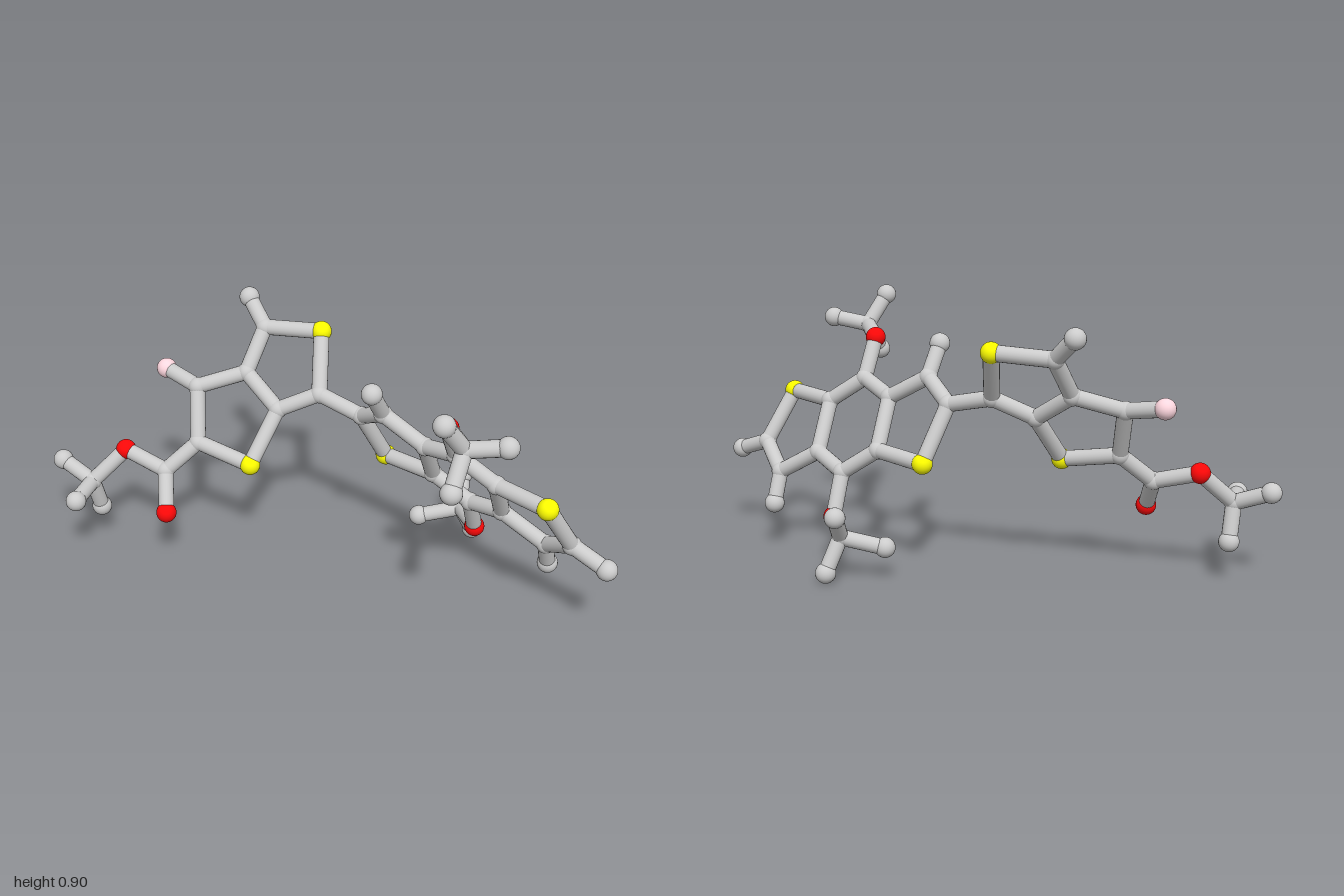
import * as THREE from 'three';

const BALL = 0.035, JOINT = 0.032, STICK = 0.027;
const COLORS = { grey: 0xcccccc, red: 0xff0808, yellow: 0xffff00, pink: 0xffd8e0 };

// Each section: atoms by name, then bonded chains of names.
// Names starting with S are yellow, O red, F pink; H are grey end balls, C grey joints.
const SECTIONS = {
  leftRings: {
    atoms: {
      S1: [-0.284, 0.39, 0.075], C1: [-0.49, 0.425, 0.06], C2: [-0.528, 0.595, -0.025],
      C3: [-0.374, 0.645, -0.1], C4: [-0.235, 0.553, -0.052], C5: [-0.347, 0.778, -0.2],
      S2: [-0.144, 0.79, -0.222], C6: [-0.1, 0.617, -0.1],
      F1: [-0.667, 0.62, -0.062], H1: [-0.428, 0.856, -0.25],
    },
    chains: ['S1 C1 C2 C3 C4 S1', 'C3 C5 S2 C6 C4', 'C2 F1', 'C5 H1'],
  },
  endGroup: {
    atoms: {
      C7: [-0.585, 0.329, 0.133], O1: [-0.541, 0.217, 0.221], O2: [-0.744, 0.373, 0.125],
      C8: [-0.843, 0.263, 0.204], H2: [-0.968, 0.313, 0.188], H3: [-0.828, 0.261, 0.338],
      H4: [-0.84, 0.138, 0.167],
    },
    chains: ['C1 C7 O1', 'C7 O2 C8 H2', 'C8 H3', 'C8 H4'],
  },
  rightRings: {
    atoms: {
      C9: [0.064, 0.58, -0.078], C10: [0.17, 0.65, 0], C11: [0.321, 0.567, 0.008],
      C12: [0.317, 0.403, -0.1], S3: [0.119, 0.391, -0.17], H5: [0.157, 0.755, 0.07],
      C13: [0.452, 0.61, 0.086], C14: [0.585, 0.522, 0.073], C15: [0.581, 0.358, -0.034],
      C16: [0.449, 0.316, -0.11], S4: [0.774, 0.528, 0.155], C17: [0.841, 0.352, 0.06],
      C18: [0.737, 0.27, -0.032], H6: [0.964, 0.308, 0.087], H7: [0.738, 0.165, -0.08],
    },
    chains: ['C6 C9 C10 C11 C12 S3 C9', 'C10 H5', 'C11 C13 C14 C15 C16 C12',
      'C14 S4 C17 C18 C15', 'C17 H6', 'C18 H7'],
  },
  upperBranch: {
    atoms: {
      O3: [0.444, 0.744, 0.161], C19: [0.541, 0.765, 0.298], H8: [0.496, 0.869, 0.362],
      H9: [0.667, 0.788, 0.274], H10: [0.534, 0.661, 0.384],
    },
    chains: ['C13 O3 C19 H8', 'C19 H9', 'C19 H10'],
  },
  lowerBranch: {
    atoms: {
      O4: [0.45, 0.175, -0.177], C20: [0.358, 0.15, -0.305], H11: [0.336, 0.24, -0.383],
      H12: [0.22, 0.115, -0.252], H13: [0.389, 0.037, -0.357],
    },
    chains: ['C16 O4 C20 H11', 'C20 H12', 'C20 H13'],
  },
};

const KINDS = {
  S: ['yellowBall', 'yellow', BALL], O: ['redBall', 'red', BALL], F: ['pinkBall', 'pink', BALL],
  H: ['endBall', 'grey', BALL], C: ['joint', 'grey', JOINT],
};

export function createModel() {
  const model = new THREE.Group();
  model.name = 'ballAndStickModel';
  const materials = {};
  for (const key in COLORS) materials[key] = new THREE.MeshStandardMaterial({ color: COLORS[key] });
  const sphere = new THREE.SphereGeometry(1, 24, 16);
  const cylinder = new THREE.CylinderGeometry(STICK, STICK, 1, 20, 1, true);
  const up = new THREE.Vector3(0, 1, 0);
  const points = {};

  // Straight rod between two ball centres
  const addStick = (group, a, b) => {
    const dir = b.clone().sub(a);
    const stick = new THREE.Mesh(cylinder, materials.grey);
    stick.name = 'stick';
    stick.position.copy(a).lerp(b, 0.5);
    stick.scale.y = dir.length();
    stick.quaternion.setFromUnitVectors(up, dir.normalize());
    group.add(stick);
  };

  for (const [name, { atoms, chains }] of Object.entries(SECTIONS)) {
    const group = new THREE.Group();
    group.name = name;
    model.add(group);

    // Balls and joints
    for (const [id, p] of Object.entries(atoms)) {
      const [label, color, radius] = KINDS[id[0]];
      points[id] = new THREE.Vector3(...p);
      const ball = new THREE.Mesh(sphere, materials[color]);
      ball.name = label;
      ball.position.copy(points[id]);
      ball.scale.setScalar(radius);
      group.add(ball);
    }

    // Sticks along each chain
    for (const chain of chains) {
      const ids = chain.split(' ');
      for (let i = 1; i < ids.length; i++) addStick(group, points[ids[i - 1]], points[ids[i]]);
    }
  }
  return model;
}
